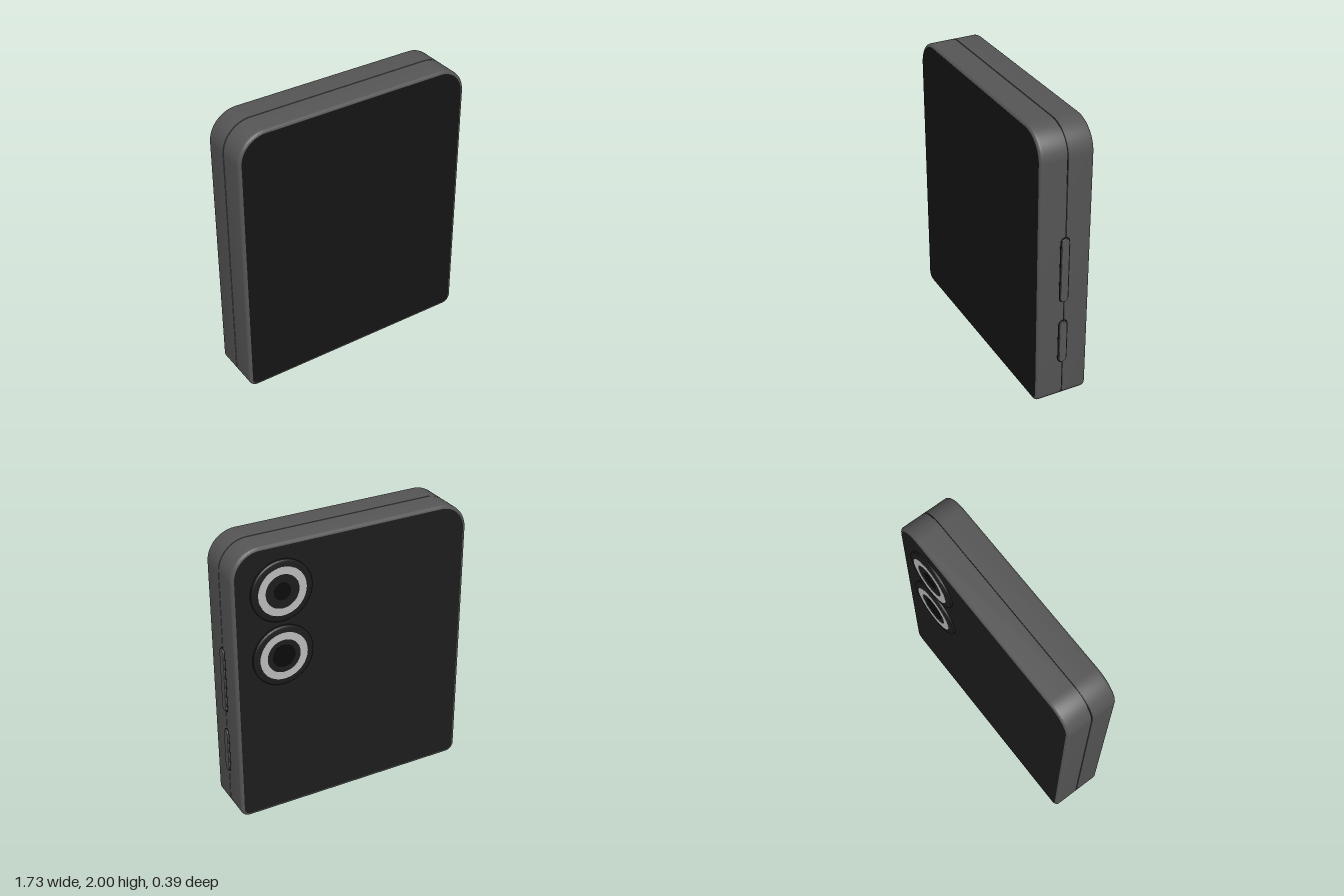
import * as THREE from 'three';
import { toCreasedNormals } from 'three/addons/utils/BufferGeometryUtils.js';

const CX = -0.006, HALF_W = 0.859, BOTTOM = 0.013, TOP = 2, SEAM_Z = 0.01;
const FRONT_Z = 0.197, BACK_Z = -0.174;

const mat = (color, side = THREE.FrontSide) => new THREE.MeshStandardMaterial({ color, side });
const casing = mat(0x555555), dark = mat(0x1c1c1d), black = mat(0x0b0b0c);
const glass = mat(0x141416), metal = mat(0xbbbbbb), seamMat = mat(0x1a1a22);

function add(parent, name, geometry, material, x = 0, y = 0, z = 0) {
  const mesh = new THREE.Mesh(geometry, material);
  mesh.name = name;
  mesh.position.set(x, y, z);
  parent.add(mesh);
  return mesh;
}

// Counter-clockwise outline with large top corners and small bottom corners
function outline(inset) {
  const l = CX - HALF_W + inset, r = CX + HALF_W - inset;
  const b = BOTTOM + inset, t = TOP - inset;
  const big = 0.2 - inset, small = 0.065 - inset;
  const s = new THREE.Shape();
  s.absarc(r - small, b + small, small, -Math.PI / 2, 0);
  s.absarc(r - big, t - big, big, 0, Math.PI / 2);
  s.absarc(l + big, t - big, big, Math.PI / 2, Math.PI);
  s.absarc(l + small, b + small, small, Math.PI, Math.PI * 1.5);
  return s;
}

// Skin through outlines at [z, inset] sections, in ascending z
function loft(sections) {
  const rings = sections.map(([z, inset]) =>
    outline(inset).getPoints(14).map(p => new THREE.Vector3(p.x, p.y, z)));
  const n = rings[0].length, pos = [], index = [];
  rings.flat().forEach(p => pos.push(p.x, p.y, p.z));
  for (let k = 0; k < rings.length - 1; k++) {
    for (let i = 0; i < n; i++) {
      const j = (i + 1) % n, a = k * n + i, b = k * n + j;
      index.push(a, b, b + n, a, b + n, a + n);
    }
  }
  const g = new THREE.BufferGeometry();
  g.setAttribute('position', new THREE.Float32BufferAttribute(pos, 3));
  g.setIndex(index);
  return toCreasedNormals(g, 0.6);
}

// Upright pill that faces +x
function pill(length, width, depth, bevel) {
  const r = width / 2 - bevel, h = length / 2 - width / 2;
  const s = new THREE.Shape();
  s.absarc(0, h, r, 0, Math.PI);
  s.absarc(0, -h, r, Math.PI, Math.PI * 2);
  const g = new THREE.ExtrudeGeometry(s, {
    depth, bevelEnabled: bevel > 0, bevelSize: bevel, bevelThickness: bevel, bevelSegments: 3, curveSegments: 14
  });
  return g.rotateY(Math.PI / 2);
}

// Round part turned to face the back
const turned = pts => toCreasedNormals(
  new THREE.LatheGeometry(pts.map(p => new THREE.Vector2(...p)), 56).rotateX(-Math.PI / 2), 0.6);

export function createModel() {
  const model = new THREE.Group();
  model.name = 'foldedPhone';

  // Two casing halves with rounded outer edges
  const R = 0.022, round = [0, 1, 2, 3, 4].map(i => {
    const a = (i / 4) * Math.PI / 2;
    return [R * (1 - Math.cos(a)), R * (1 - Math.sin(a))];
  });
  const gap = 0.003;
  add(model, 'frontHalf', loft([[SEAM_Z + gap, 0.012], [SEAM_Z + gap, 0],
    ...round.map(([inset, d]) => [FRONT_Z - d, inset])]), casing);
  add(model, 'backHalf', loft([...round.map(([inset, d]) => [BACK_Z + d, inset]).reverse(),
    [SEAM_Z - gap, 0], [SEAM_Z - gap, 0.012]]), casing);

  // Dark core seen in the fold line
  add(model, 'foldSeam', loft([[SEAM_Z - 0.006, 0.006], [SEAM_Z + 0.006, 0.006]]), seamMat);

  // Flat panels closing the front and the back
  add(model, 'frontScreen', new THREE.ShapeGeometry(outline(R), 14), glass, 0, 0, FRONT_Z);
  const back = add(model, 'backPanel', new THREE.ShapeGeometry(outline(R), 14), dark, 2 * CX, 0, BACK_Z);
  back.rotation.y = Math.PI;

  // Hinge spine bulging slightly from the bottom
  const spine = new THREE.Shape();
  spine.moveTo(-0.14, 0.03);
  spine.lineTo(-0.14, 0.011);
  spine.quadraticCurveTo(0, -0.011, 0.14, 0.011);
  spine.lineTo(0.14, 0.03);
  const hinge = new THREE.ExtrudeGeometry(spine, { depth: 1.37, bevelEnabled: false, curveSegments: 10 });
  hinge.translate(0, 0, -0.685).rotateY(Math.PI / 2);
  add(model, 'hinge', toCreasedNormals(hinge, 0.5), dark, CX, 0, SEAM_Z);

  // Side keys, each in a thin dark surround
  const side = CX + HALF_W;
  for (const [name, low, high] of [['volumeKey', 0.775, 1.26], ['powerKey', 0.3, 0.635]]) {
    const key = new THREE.Group();
    key.name = name;
    key.position.set(side, (low + high) / 2, SEAM_Z + 0.003);
    add(key, 'keySurround', pill(high - low, 0.07, 0.012, 0), black, -0.011);
    add(key, 'keyCap', pill(high - low - 0.014, 0.056, 0.014, 0.004), casing, -0.006);
    model.add(key);
  }

  // Two rear cameras with a bright ring around each lens
  for (const [name, y, pupil] of [['upperCamera', 1.677, 0.06], ['lowerCamera', 1.212, 0.082]]) {
    const cam = new THREE.Group();
    cam.name = name;
    cam.position.set(0.515, y, BACK_Z);
    add(cam, 'cameraMount', turned([[0.215, -0.005], [0.215, 0.014], [0.211, 0.019],
      [0.203, 0.022], [0.168, 0.022], [0, 0.021]]), dark);
    add(cam, 'cameraRing', turned([[0.17, 0.021], [0.17, 0.0235], [0.118, 0.0235], [0.118, 0.021]]), metal);
    add(cam, 'lensGlass', turned([[0.118, 0.0222], [0, 0.0222]]), dark);
    add(cam, 'lensPupil', turned([[pupil, 0.0222], [pupil, 0.0232], [0, 0.0232]]), black);
    model.add(cam);
  }

  return model;
}
